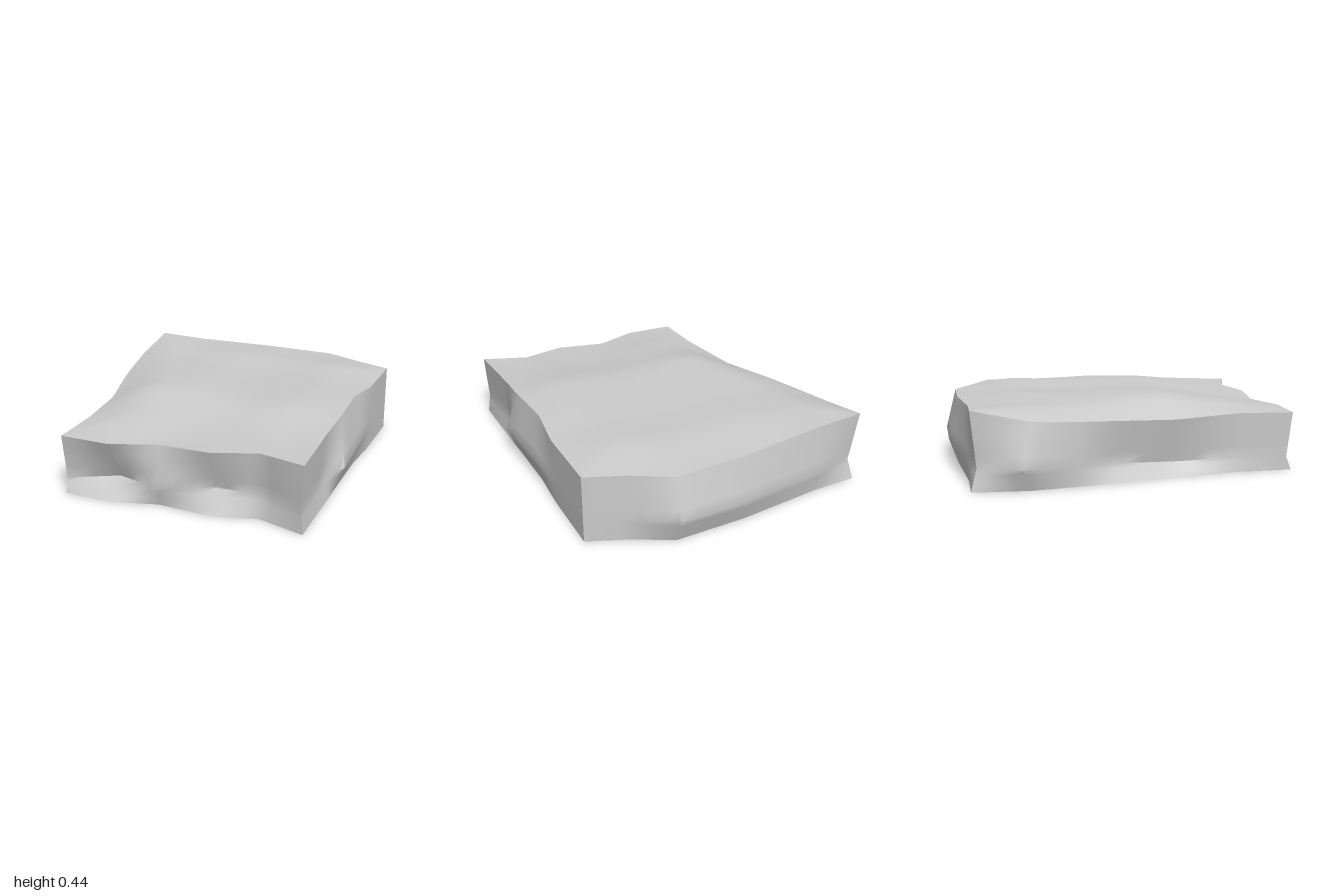
import * as THREE from 'three';
import { toCreasedNormals } from 'three/addons/utils/BufferGeometryUtils.js';

// Outline loops [x, y, z], starting at the front right corner and running
// along the front, the left side, the back and the right side.
const topLoop = [
  [-0.49, 0.335, 1], [-0.2, 0.337, 1], [0.05, 0.34, 0.9], [0.35, 0.355, 0.92], [0.6, 0.365, 0.84],
  [0.865, 0.373, 0.91], [0.835, 0.39, 0.5], [0.83, 0.41, 0.25], [0.8, 0.415, -0.07], [0.82, 0.4, -0.33],
  [0.8, 0.395, -0.75], [0.58, 0.395, -0.83], [0.35, 0.39, -0.94], [-0.07, 0.4, -0.91], [-0.57, 0.415, -0.83],
  [-0.85, 0.427, -0.81], [-0.84, 0.363, -0.5], [-0.775, 0.348, -0.24], [-0.72, 0.34, -0.05],
  [-0.6, 0.322, 0.3], [-0.51, 0.338, 0.69],
];
const midLoop = [
  [-0.485, 0.08, 0.97], [-0.2, 0.11, 0.88], [0.07, 0.11, 0.945], [0.35, 0.13, 0.84], [0.6, 0.125, 0.81],
  [0.85, 0.11, 0.9], [0.815, 0.115, 0.47], [0.893, 0.15, 0.35], [0.855, 0.16, -0.07], [0.82, 0.13, -0.33],
  [0.8, 0.13, -0.75], [0.59, 0.14, -0.83], [0.355, 0.15, -1], [-0.04, 0.14, -0.965], [-0.6, 0.13, -0.85],
  [-0.82, 0.12, -0.78], [-0.897, 0.12, -0.54], [-0.775, 0.11, -0.24], [-0.67, 0.1, -0.05],
  [-0.535, 0.075, 0.3], [-0.5, 0.08, 0.69],
];
const bottomLoop = [
  [-0.48, 0, 1], [-0.2, 0, 0.99], [0.05, 0, 0.91], [0.35, 0, 0.92], [0.6, 0, 0.84],
  [0.865, 0, 0.91], [0.84, 0, 0.45], [0.83, 0, 0.3], [0.81, 0, -0.07], [0.815, 0, -0.33],
  [0.8, 0, -0.75], [0.58, 0, -0.83], [0.35, 0, -0.94], [-0.07, 0, -0.91], [-0.57, 0, -0.83],
  [-0.845, 0, -0.81], [-0.84, 0, -0.5], [-0.775, 0, -0.24], [-0.72, 0, -0.05],
  [-0.6, 0, 0.3], [-0.51, 0, 0.69],
];

// Gentle steps of the upper surface, front to back: [z, height].
const steps = [
  [1, 0.335], [0.75, 0.365], [0.55, 0.378], [0.27, 0.428], [0, 0.424],
  [-0.3, 0.413], [-0.62, 0.43], [-1, 0.392],
];

const mix = (p, q, t) => p.map((v, k) => THREE.MathUtils.lerp(v, q[k], t));

// Adds evenly spaced points along every edge of a loop.
const refine = (loop) => loop.flatMap((p, i) =>
  [0, 0.25, 0.5, 0.75].map((t) => mix(p, loop[(i + 1) % loop.length], t)));

// Loops from one outline up to the next, without the last.
const between = (low, high) => [0, 0.25, 0.5, 0.75].map((t) => low.map((p, i) => mix(p, high[i], t)));

function surfaceHeight(x, z) {
  const i = Math.max(1, steps.findIndex(([sz]) => sz <= z));
  const [z0, y0] = steps[i - 1], [z1, y1] = steps[i];
  return THREE.MathUtils.lerp(y0, y1, (z - z0) / (z1 - z0)) + 0.008 * Math.cos(8.4 * (x + 0.2));
}

// Joins closed loops into one skin, each loop lying above or inside the last.
function loft(loops, crease) {
  const n = loops[0].length;
  const index = [];
  for (let r = 0; r < loops.length - 1; r++) {
    for (let i = 0; i < n; i++) {
      const a = r * n + i, b = r * n + (i + 1) % n;
      index.push(a, b, b + n, a, b + n, a + n);
    }
  }
  const geometry = new THREE.BufferGeometry();
  geometry.setAttribute('position', new THREE.Float32BufferAttribute(loops.flat(2), 3));
  geometry.setIndex(index);
  return toCreasedNormals(geometry, crease);
}

export function createModel() {
  const group = new THREE.Group();
  group.name = 'rockSlab';
  // The shell is open underneath
  const material = new THREE.MeshStandardMaterial({ color: 0xcccccc, side: THREE.DoubleSide });
  const [bottom, mid, rim] = [bottomLoop, midLoop, topLoop].map(refine);

  // Rough side walls
  const walls = new THREE.Mesh(loft([...between(bottom, mid), ...between(mid, rim), rim], 0.7), material);
  walls.name = 'sideWalls';

  // Uneven upper face, closing in rings towards the middle
  const rings = [1, 0.88, 0.76, 0.64, 0.52, 0.4, 0.28, 0.15, 0.001].map((s) => rim.map(([x, y, z]) => {
    const px = 0.05 + (x - 0.05) * s, pz = z * s;
    const blend = Math.min(1, (1 - s) / 0.3);
    return [px, THREE.MathUtils.lerp(y, surfaceHeight(px, pz), blend), pz];
  }));
  const top = new THREE.Mesh(loft(rings, 0.95), material);
  top.name = 'topSurface';

  group.add(walls, top);
  return group;
}
